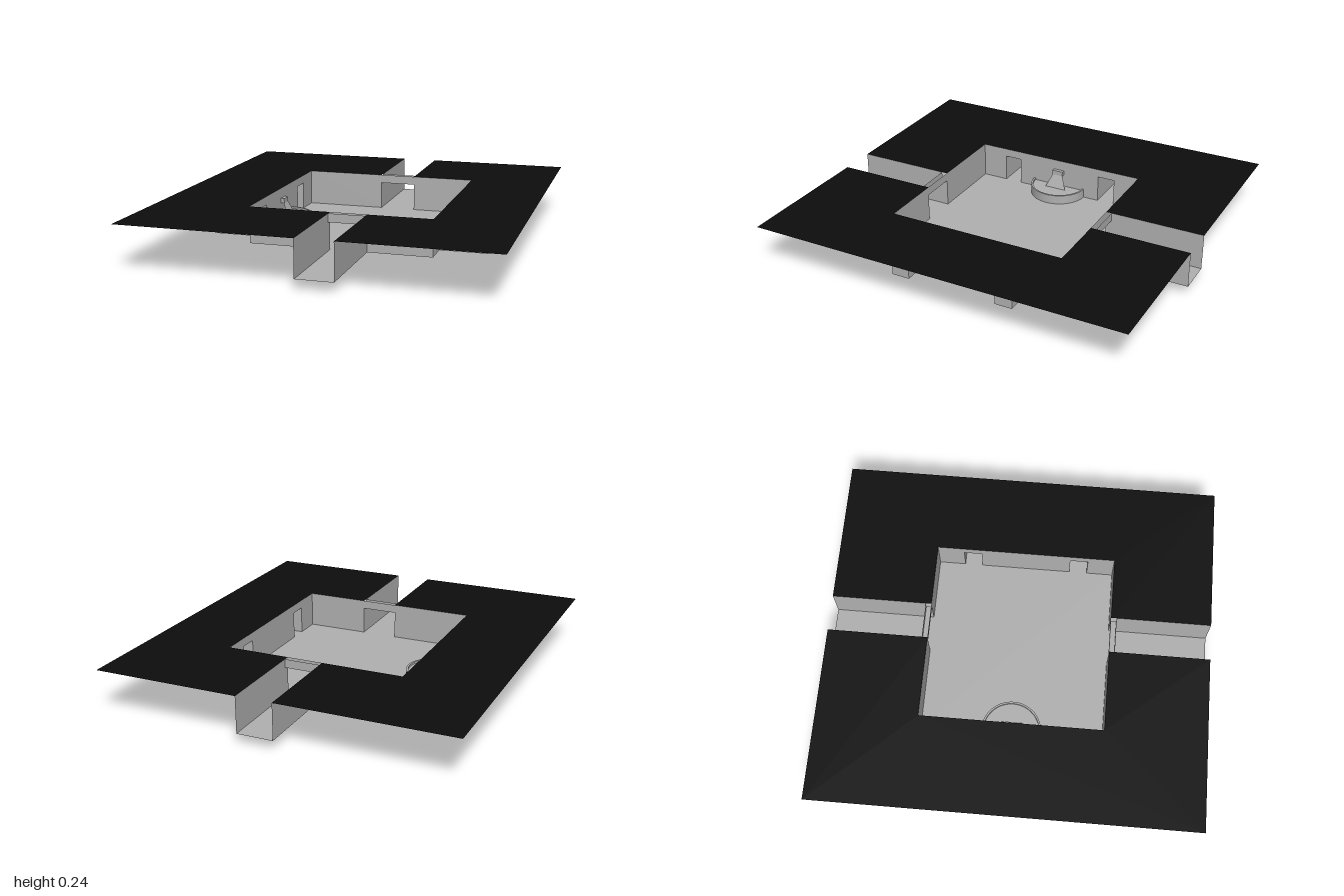
import * as THREE from 'three';

const FLOOR = 0.05, DOOR = 0.195, TOP = 0.24;
const X0 = -0.45, X1 = 0.495, Z = 0.475;      // room
const C0 = -0.025, C1 = 0.165, CZ = 0.505;    // corridor
const N0 = 0.24, N1 = 0.335, DEPTH = 0.24;    // niches

export function createModel() {
  const group = new THREE.Group();
  const stone = new THREE.MeshStandardMaterial({ color: 0xb0b0b0, side: THREE.DoubleSide });
  stone.name = 'grey stone';
  const black = new THREE.MeshStandardMaterial({ color: 0x0d0d0d, side: THREE.DoubleSide });
  black.name = 'black ground';

  const add = (name, geo, mat = stone) => {
    const m = new THREE.Mesh(geo, mat);
    m.name = name;
    group.add(m);
    return m;
  };
  const poly = (pts) => new THREE.ShapeGeometry(new THREE.Shape(pts.map(p => new THREE.Vector2(...p))));
  const rect = (a0, b0, a1, b1) => poly([[a0, b0], [a1, b0], [a1, b1], [a0, b1]]);
  // Flat panels: horizontal (x, z), facing z (x, y), facing x (z, y)
  const level = (name, geo, y, mat) => add(name, geo.rotateX(Math.PI / 2).translate(0, y, 0), mat);
  const faceZ = (name, geo, z) => add(name, geo.translate(0, 0, z));
  const faceX = (name, geo, x) => add(name, geo.rotateY(-Math.PI / 2).translate(x, 0, 0));

  // Ground sheet in two halves, cut around the room and corridors
  level('groundRight', poly([[-0.93, -1], [C0, -1], [C0, -Z], [X0, -Z], [X0, Z], [C0, Z], [C0, 1], [-0.93, 1]]), TOP, black);
  level('groundLeft', poly([[0.93, -1], [0.93, 1], [C1, 1], [C1, Z], [X1, Z], [X1, -Z], [C1, -Z], [C1, -1]]), TOP, black);

  // Room floor
  level('roomFloor', rect(X0, -Z, X1, Z), FLOOR);

  for (const s of [-1, 1]) {
    // End wall of the room with its doorway
    faceZ('roomEndWall', poly([[X0, FLOOR], [C0, FLOOR], [C0, DOOR], [C1, DOOR], [C1, FLOOR],
      [X1, FLOOR], [X1, TOP], [X0, TOP]]), s * Z);
    // Doorway tunnel and corridor
    level('corridorFloor', rect(C0, s * Z, C1, s), FLOOR);
    level('doorwayCeiling', rect(C0, s * Z, C1, s * CZ), DOOR);
    faceZ('corridorLintel', rect(C0, DOOR, C1, TOP), s * CZ);
    for (const x of [C0, C1]) {
      faceX('doorwaySide', rect(s * Z, FLOOR, s * CZ, DOOR), x);
      faceX('corridorWall', rect(s * CZ, FLOOR, s, TOP), x);
    }
  }

  for (const [x, dir] of [[X0, -1], [X1, 1]]) {
    // Side wall with two niche openings
    faceX('roomSideWall', poly([[-Z, FLOOR], [-N1, FLOOR], [-N1, DOOR], [-N0, DOOR], [-N0, FLOOR],
      [N0, FLOOR], [N0, DOOR], [N1, DOOR], [N1, FLOOR], [Z, FLOOR], [Z, TOP], [-Z, TOP]]), x);
    const end = x + dir * DEPTH;
    for (const s of [-1, 1]) {
      level('nicheFloor', rect(x, s * N0, end, s * N1), FLOOR);
      level('nicheCeiling', rect(x, s * N0, end, s * N1), DOOR);
      faceX('nicheEnd', rect(s * N0, FLOOR, s * N1, DOOR), end);
      for (const z of [N0, N1]) faceZ('nicheSide', rect(x, FLOOR, end, DOOR), s * z);
    }
  }

  // Half-round fountain basin against the wall
  const rim = new THREE.Shape();
  rim.absarc(0, 0, 0.155, -Math.PI / 2, Math.PI / 2, false);
  rim.absarc(0, 0, 0.145, Math.PI / 2, -Math.PI / 2, true);
  const rimGeo = new THREE.ExtrudeGeometry(rim, { depth: 0.1, bevelEnabled: false, curveSegments: 16 });
  add('basinRim', rimGeo.rotateX(-Math.PI / 2).translate(X0, 0, 0));
  const pool = new THREE.CircleGeometry(0.148, 16, -Math.PI / 2, Math.PI);
  level('basinWater', pool.translate(X0, 0, 0), 0.09);

  // Spout on the wall and the fan of water below it
  add('spout', new THREE.BoxGeometry(0.02, 0.025, 0.06).translate(X0 + 0.01, 0.172, 0));
  const fan = rect(-1, 0, 1, 1);
  const p = fan.attributes.position;
  for (let i = 0; i < p.count; i++) {
    const t = p.getY(i);
    p.setXYZ(i, X0 + 0.045 - 0.03 * t, 0.09 + 0.08 * t, p.getX(i) * (0.06 - 0.035 * t));
  }
  fan.computeVertexNormals();
  add('waterFan', fan);

  return group;
}
